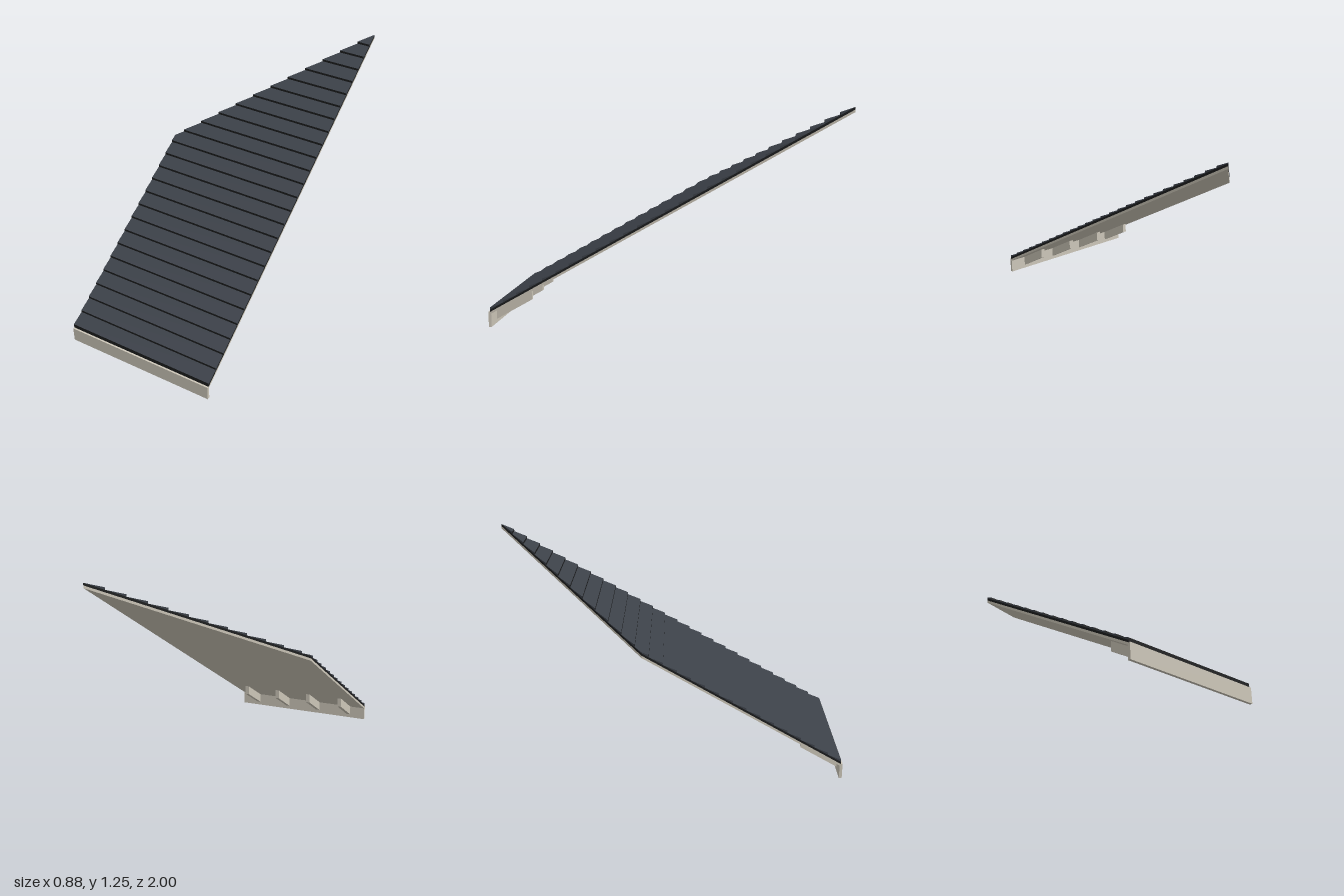
import * as THREE from 'three';

const HALF = 0.44, FRONT = 0.99, BACK = -1, COURSES = 26;
const SLOPE = Math.tan(Math.PI / 6);
const HIP = -0.56; // the hip edge follows x + z = HIP
const BUTT = 0.013; // exposed thickness of each shingle course

const material = (name, color) => {
  const m = new THREE.MeshStandardMaterial({ color });
  m.name = name;
  return m;
};

// Height of the covering's base plane at depth z
const roofY = (z) => 1.25 + (BACK - z) * SLOPE;

// Plan outline of the roof between two depths, anticlockwise from above
function outline(front, back) {
  const left = (z) => Math.max(-HALF, HIP - z);
  const corner = HIP + HALF;
  const pts = [[left(front), front], [HALF, front], [HALF, back]];
  if (left(back) < HALF - 1e-6) pts.push([left(back), back]);
  if (front > corner && back < corner) pts.push([-HALF, corner]);
  return pts;
}

// Upright prism with sloping lower and upper faces; group 1 is its front face
function prism(pts, lower, upper) {
  const low = pts.map(([x, z]) => [x, lower(z), z]);
  const top = pts.map(([x, z]) => [x, upper(z), z]);
  const pos = [];
  const tri = (...corners) => corners.forEach((c) => pos.push(...c));
  const n = pts.length;
  for (let i = 0; i < n; i++) {
    const j = (i + 1) % n;
    tri(low[i], low[j], top[j]);
    tri(low[i], top[j], top[i]);
  }
  for (let i = 1; i < n - 1; i++) {
    tri(top[0], top[i], top[i + 1]);
    tri(low[0], low[i + 1], low[i]);
  }
  const g = new THREE.BufferGeometry();
  g.setAttribute('position', new THREE.Float32BufferAttribute(pos, 3));
  g.computeVertexNormals();
  g.addGroup(0, 6, 1);
  g.addGroup(6, pos.length / 3 - 6, 0);
  return g;
}

export function createModel() {
  const model = new THREE.Group();
  model.name = 'roofSection';
  const slate = material('slate', 0x3c4149);
  const black = material('shadowBlack', 0x1c1d1e);
  const timber = material('paleTimber', 0xcdc7b9);

  const add = (name, geometry, mat, parent = model) => {
    const mesh = new THREE.Mesh(geometry, mat);
    mesh.name = name;
    parent.add(mesh);
    return mesh;
  };
  const offset = (d) => (z) => roofY(z) - d;

  // Timber deck with a dark underlay on top
  const plan = outline(FRONT, BACK);
  add('deck', prism(plan, offset(0.027), offset(0.013)), [timber, timber]);
  add('underlay', prism(plan, offset(0.013), roofY), [black, black]);

  // Tapered shingle courses with dark butt edges
  const shingles = new THREE.Group();
  shingles.name = 'shingles';
  model.add(shingles);
  const pitch = (FRONT - BACK) / COURSES;
  for (let i = 0; i < COURSES; i++) {
    const front = FRONT - i * pitch;
    const back = i === COURSES - 1 ? BACK : front - pitch;
    const upper = (z) => roofY(z) + BUTT * (z - back) / pitch;
    add('shingleCourse', prism(outline(front, back), roofY, upper), [slate, black], shingles);
  }

  // Fascia board across the eaves
  const fascia = add('fascia', new THREE.BoxGeometry(HALF * 2, 0.089, 0.016), timber);
  fascia.position.set(0, 0.0445, 0.992);

  // Rafter tails under the eaves
  const w = 0.0125;
  for (const x of [-0.33, -0.11, 0.11, 0.33]) {
    const pts = [[x - w, 0.985], [x + w, 0.985], [x + w, 0.775], [x - w, 0.775]];
    add('rafterTail', prism(pts, offset(0.083), offset(0.026)), [timber, timber]);
  }
  return model;
}
